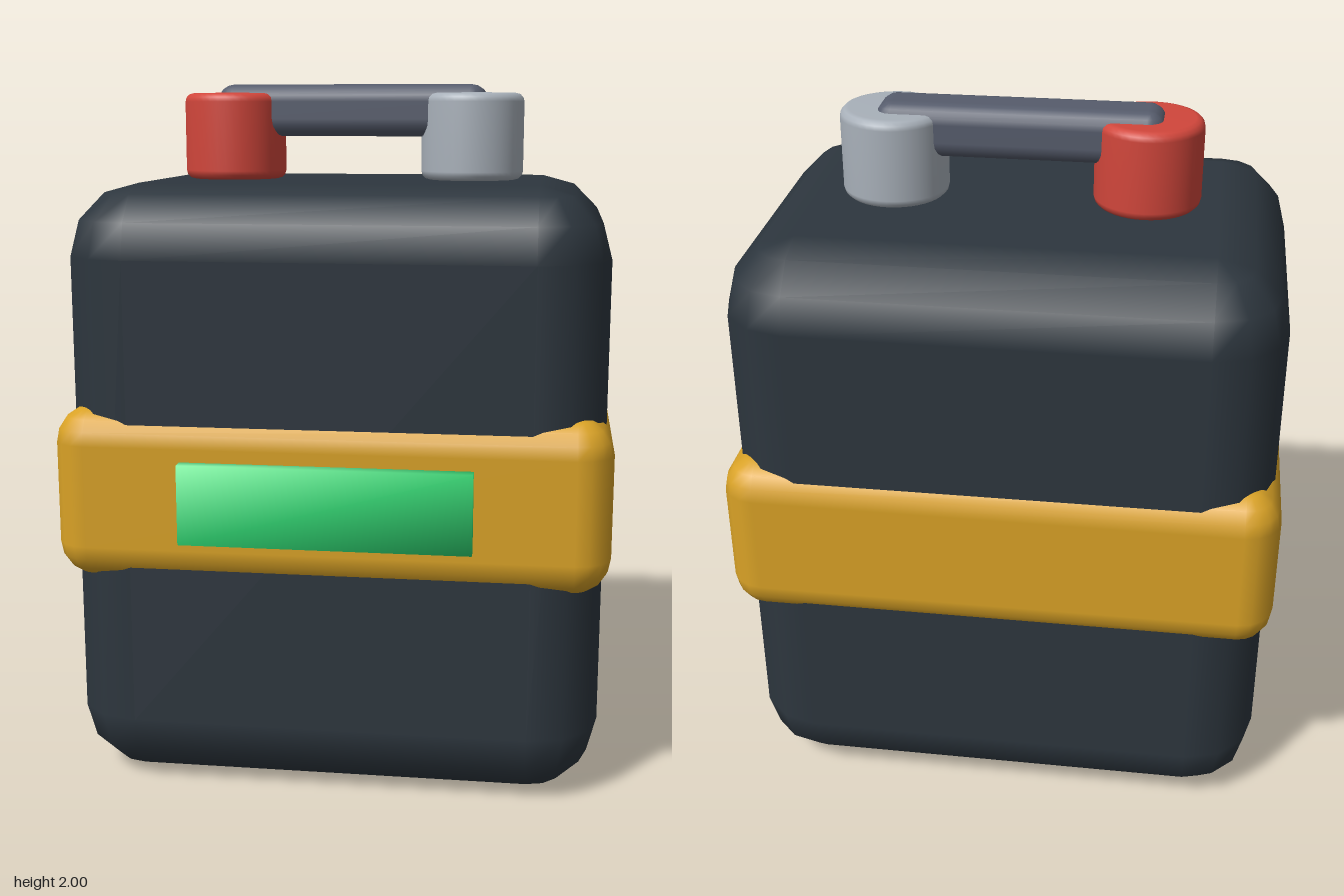
import * as THREE from 'three';
import { mergeVertices } from 'three/addons/utils/BufferGeometryUtils.js';

const material = (name, color) => Object.assign(new THREE.MeshStandardMaterial({ color }), { name });

// Box with every edge rounded by radius r in n even steps and smooth normals
function roundedBox(w, h, d, r, n) {
  const pos = [], nor = [], idx = [];
  const rows = 2 * (n + 1), cols = 4 * (n + 1);
  const at = (i, j) => i * cols + (j % cols);
  for (let i = 0; i < rows; i++) {
    const sy = i <= n ? -1 : 1;
    const phi = (i <= n ? i - n : i - n - 1) / n * Math.PI / 2;
    for (let q = 0; q < 4; q++) {
      const sx = q === 0 || q === 3 ? 1 : -1;
      const sz = q < 2 ? 1 : -1;
      for (let k = 0; k <= n; k++) {
        const a = (q + k / n) * Math.PI / 2;
        const v = [Math.cos(a) * Math.cos(phi), Math.sin(phi), Math.sin(a) * Math.cos(phi)];
        nor.push(...v);
        pos.push(sx * (w / 2 - r) + r * v[0], sy * (h / 2 - r) + r * v[1], sz * (d / 2 - r) + r * v[2]);
      }
    }
  }
  for (let i = 0; i < rows - 1; i++) {
    for (let j = 0; j < cols; j++) {
      const a = at(i, j), b = at(i, j + 1), c = at(i + 1, j + 1), e = at(i + 1, j);
      idx.push(b, a, e, b, e, c);
    }
  }
  // flat bottom and top
  const m = n + 1, t = rows - 1;
  idx.push(at(0, 0), at(0, m), at(0, 2 * m), at(0, 0), at(0, 2 * m), at(0, 3 * m));
  idx.push(at(t, 0), at(t, 2 * m), at(t, m), at(t, 0), at(t, 3 * m), at(t, 2 * m));
  const g = new THREE.BufferGeometry();
  g.setAttribute('position', new THREE.Float32BufferAttribute(pos, 3));
  g.setAttribute('normal', new THREE.Float32BufferAttribute(nor, 3));
  g.setIndex(idx);
  return g;
}

// Upright post with softened rims, standing on y = 0
function postGeometry(radius, height, bevel) {
  const pts = [new THREE.Vector2(0, 0)];
  for (const [y, start] of [[bevel, -Math.PI / 2], [height - bevel, 0]]) {
    for (let k = 0; k <= 3; k++) {
      const a = start + k / 3 * Math.PI / 2;
      pts.push(new THREE.Vector2(radius - bevel + bevel * Math.cos(a), y + bevel * Math.sin(a)));
    }
  }
  pts.push(new THREE.Vector2(0, height));
  return new THREE.LatheGeometry(pts, 40);
}

// Box whose corner normals are shared, giving soft shading over the faces
function softBox(w, h, d) {
  const g = new THREE.BoxGeometry(w, h, d);
  g.deleteAttribute('normal');
  g.deleteAttribute('uv');
  const merged = mergeVertices(g);
  merged.computeVertexNormals();
  return merged;
}

export function createModel() {
  const model = new THREE.Group();
  model.name = 'powerCell';
  const dark = material('dark casing', 0x2d363e);
  const yellow = material('yellow band', 0xd9a226);
  const green = material('green indicator', 0x2fd873);
  const red = material('red terminal', 0xd1463b);
  const grey = material('light grey terminal', 0xa8b0b9);
  const slate = material('slate handle', 0x565c6c);

  const add = (name, geometry, mat, x, y, z) => {
    const mesh = new THREE.Mesh(geometry, mat);
    mesh.name = name;
    mesh.position.set(x, y, z);
    model.add(mesh);
  };
  const cz = -0.02;

  // casing and the band wrapped round it
  add('casing', roundedBox(1.52, 1.725, 1.115, 0.2, 3), dark, 0, 0.8625, cz);
  add('band', roundedBox(1.56, 0.49, 1.16, 0.1, 4), yellow, 0, 0.865, cz);

  // indicator on the front
  add('indicator', softBox(0.81, 0.225, 0.08), green, 0, 0.8625, 0.56);

  // terminals joined by the handle
  const post = postGeometry(0.15, 0.25, 0.025);
  add('rightTerminal', post, red, -0.355, 1.725, cz);
  add('leftTerminal', post, grey, 0.355, 1.725, cz);
  add('handle', roundedBox(0.8, 0.15, 0.165, 0.05, 4), slate, 0, 1.925, cz);

  return model;
}
